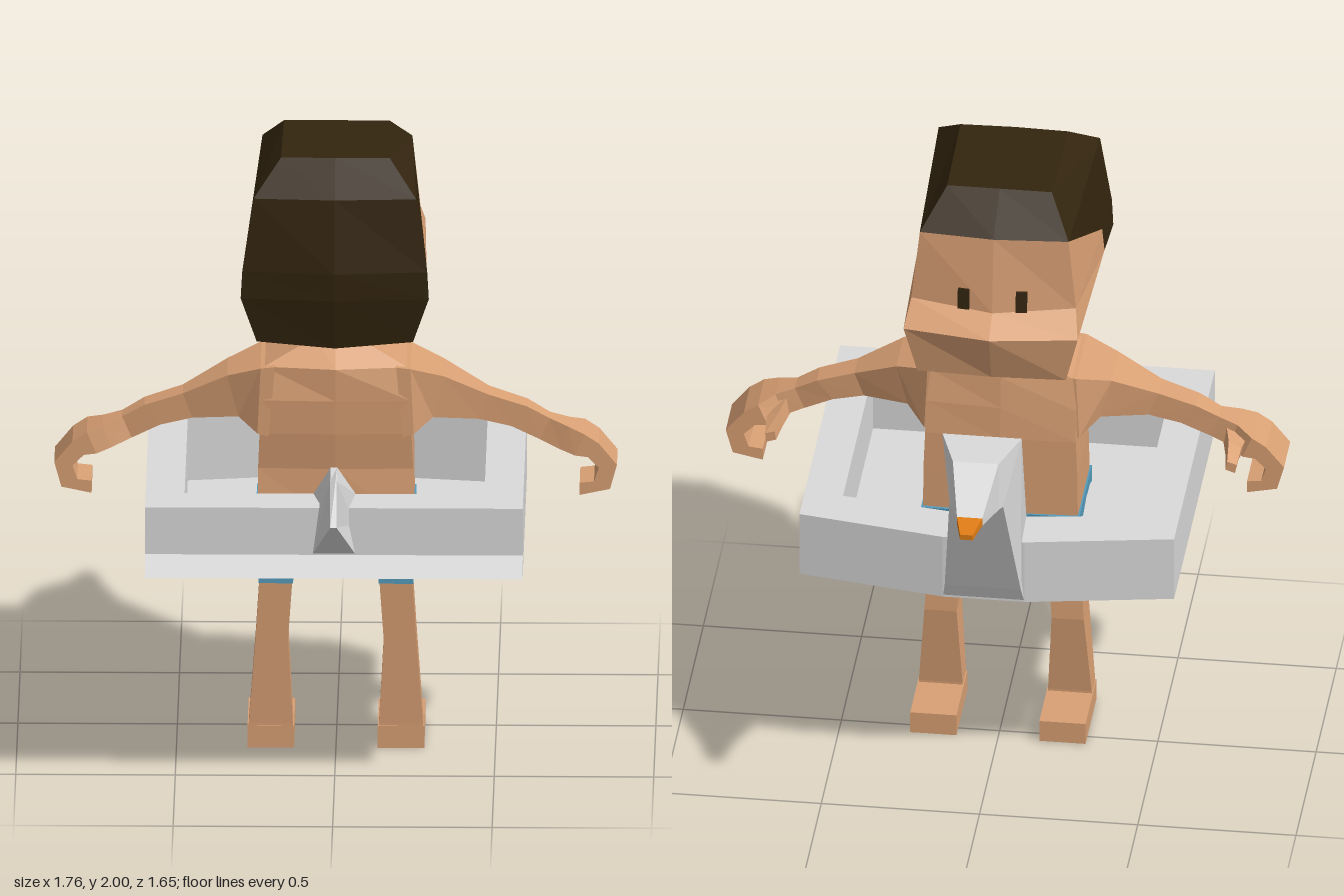
import * as THREE from 'three';

const skin = new THREE.MeshStandardMaterial({ color: 0xd9a074 });
skin.name = 'skin';
const hair = new THREE.MeshStandardMaterial({ color: 0x33250f });
hair.name = 'hair';
const shorts = new THREE.MeshStandardMaterial({ color: 0x569cbc });
shorts.name = 'shortsBlue';
const white = new THREE.MeshStandardMaterial({ color: 0xdadada });
white.name = 'floatWhite';
const orange = new THREE.MeshStandardMaterial({ color: 0xe07c14 });
orange.name = 'beakOrange';

// Faceted closed skin over equal-length loops of [x, y, z]; pick(level, segment) gives a material index
function loft(loops, pick = () => 0) {
  const tris = [];
  const n = loops[0].length;
  const cap = (loop, flip, m) => {
    for (let j = 1; j < n - 1; j++) tris.push({ m, p: flip ? [loop[0], loop[j + 1], loop[j]] : [loop[0], loop[j], loop[j + 1]] });
  };
  for (let i = 0; i < loops.length - 1; i++) {
    for (let j = 0; j < n; j++) {
      const k = (j + 1) % n, m = pick(i, j);
      const [a, b, c, d] = [loops[i][j], loops[i][k], loops[i + 1][k], loops[i + 1][j]];
      tris.push({ m, p: [a, b, c] }, { m, p: [a, c, d] });
    }
  }
  cap(loops[0], true, pick(-1, 0));
  cap(loops[loops.length - 1], false, pick(loops.length - 1, 0));

  // Turn the faces outward when the enclosed volume comes out negative
  let volume = 0;
  const v = p => new THREE.Vector3(...p);
  for (const t of tris) volume += v(t.p[0]).dot(v(t.p[1]).cross(v(t.p[2])));
  if (volume < 0) tris.forEach(t => t.p.reverse());

  tris.sort((s, t) => s.m - t.m);
  const geo = new THREE.BufferGeometry();
  geo.setAttribute('position', new THREE.Float32BufferAttribute(tris.flatMap(t => t.p.flat()), 3));
  tris.forEach((t, i) => {
    const last = geo.groups[geo.groups.length - 1];
    if (last && last.materialIndex === t.m) last.count += 3;
    else geo.addGroup(i * 3, 3, t.m);
  });
  geo.computeVertexNormals();
  return geo;
}

const rectY = (y, x0, x1, z0, z1) => [[x0, y, z0], [x1, y, z0], [x1, y, z1], [x0, y, z1]];
const mirror = (loops, s) => loops.map(l => l.map(([x, y, z]) => [x * s, y, z]));

// Loop symmetric in x: the given half runs from the front centre to the back centre
const fullLoop = half => [...half, ...half.slice(1, -1).reverse().map(([x, y, z]) => [-x, y, z])];

export function createModel() {
  const model = new THREE.Group();
  model.name = 'swimmer';
  const add = (name, geo, mat, parent = model) => {
    const mesh = new THREE.Mesh(geo, mat);
    mesh.name = name;
    parent.add(mesh);
    return mesh;
  };

  // Head: each half loop is front centre, front corner, hairline, back corner, back centre
  const headLoops = [
    [[0, 1.35, 0.05], [0.07, 1.35, 0.05], [0.07, 1.35, 0.2], [0.07, 1.35, 0.24], [0, 1.35, 0.24]],
    [[0, 1.385, -0.07], [0.15, 1.385, -0.06], [0.16, 1.38, 0.25], [0.15, 1.375, 0.32], [0, 1.37, 0.33]],
    [[0, 1.435, -0.21], [0.235, 1.435, -0.2], [0.245, 1.43, 0.48], [0.245, 1.43, 0.482], [0, 1.412, 0.495]],
    [[0, 1.6, -0.265], [0.275, 1.6, -0.225], [0.287, 1.58, 0.35], [0.295, 1.58, 0.505], [0, 1.58, 0.53]],
    [[0, 1.655, -0.187], [0.26, 1.67, -0.148], [0.282, 1.67, 0.33], [0.29, 1.67, 0.508], [0, 1.67, 0.535]],
    [[0, 1.905, -0.152], [0.235, 1.905, -0.135], [0.235, 1.905, -0.134], [0.255, 1.905, 0.49], [0, 1.905, 0.505]],
    [[0, 2, 0], [0.165, 2, 0], [0.166, 2, 0.02], [0.17, 2, 0.365], [0, 2, 0.37]],
  ].map(fullLoop);
  const isHair = (i, j) => (i >= 5 || (i >= 2 && j >= 2 && j <= 5) ? 1 : 0);
  add('head', loft(headLoops, isHair), [skin, hair]);

  for (const s of [-1, 1]) {
    const eye = add('eye', new THREE.BoxGeometry(0.036, 0.068, 0.03), hair);
    eye.position.set(s * 0.09, 1.695, -0.167);
    eye.rotation.set(0.14, -s * 0.15, 0);
  }

  // Torso, with a crease down the middle
  const torsoLoops = [
    [0.77, 0.245, 0.02, 0.315, 0.01, 0.32],
    [0.95, 0.243, 0.02, 0.3, 0.01, 0.31],
    [1.07, 0.238, 0.02, 0.315, 0.01, 0.325],
    [1.18, 0.235, 0.03, 0.32, 0.017, 0.33],
    [1.285, 0.225, 0.05, 0.3, 0.028, 0.33],
    [1.36, 0.07, 0.055, 0.235, 0.05, 0.24],
  ].map(([y, x, z0, z1, c0, c1]) => fullLoop([[0, y, c0], [x, y, z0], [x, y, z1], [0, y, c1]]));
  add('torso', loft(torsoLoops), skin);

  // Pelvis of the shorts, lofted from side to side with a raised crotch
  const pelvisLoops = [
    [-0.25, 0.61, 0.05], [-0.13, 0.61, 0], [-0.07, 0.64, 0], [0.07, 0.64, 0], [0.13, 0.61, 0], [0.25, 0.61, 0.05],
  ].map(([x, low, inset]) => {
    const xl = Math.abs(x) > 0.2 ? Math.sign(x) * 0.237 : x;
    return [
      [x, 0.8, 0.325], [x, 0.8, 0.008], [x, 0.725, 0.018], [xl, 0.655, 0.055 + inset],
      [xl, low, 0.117], [xl, low, 0.245], [xl, 0.655, 0.31 - inset], [x, 0.725, 0.33],
    ];
  });
  add('shorts', loft(pelvisLoops), shorts);

  // Arm cross-sections: top x, y, bottom x, y, front z, back z
  const armLoops = [
    [0.19, 1.29, 0.21, 1.06, 0.05, 0.32],
    [0.235, 1.285, 0.245, 1.07, 0.05, 0.32],
    [0.34, 1.25, 0.305, 1.115, 0.11, 0.285],
    [0.48, 1.18, 0.45, 1.1, 0.165, 0.255],
    [0.6, 1.14, 0.55, 1.075, 0.17, 0.25],
    [0.67, 1.1, 0.64, 1.03, 0.18, 0.245],
    [0.73, 1.08, 0.705, 1.005, 0.17, 0.27],
    [0.78, 1.06, 0.75, 0.99, 0.13, 0.285],
    [0.825, 1.03, 0.79, 0.985, 0.13, 0.285],
    [0.882, 0.96, 0.825, 0.95, 0.13, 0.285],
    [0.86, 0.88, 0.81, 0.905, 0.13, 0.285],
    [0.765, 0.86, 0.765, 0.9, 0.13, 0.285],
  ].map(([tx, ty, bx, by, z0, z1]) => [[tx, ty, z0], [tx, ty, z1], [bx, by, z1], [bx, by, z0]]);
  const thumbLoops = [
    [[0.69, 1.07, 0.2], [0.77, 1.05, 0.2], [0.76, 0.995, 0.2], [0.68, 1.01, 0.2]],
    [[0.71, 1.055, 0.11], [0.75, 1.035, 0.11], [0.74, 0.99, 0.11], [0.7, 1.0, 0.11]],
    [[0.715, 1.03, 0.03], [0.745, 1.02, 0.03], [0.74, 0.99, 0.03], [0.71, 1.0, 0.03]],
  ];

  // Leg and shorts cuff, from the ankle upward
  const legLoops = [
    rectY(0.03, 0.132, 0.277, 0.14, 0.225),
    rectY(0.08, 0.135, 0.273, 0.14, 0.225),
    rectY(0.36, 0.15, 0.252, 0.11, 0.235),
    rectY(0.55, 0.137, 0.24, 0.12, 0.243),
  ];
  const cuffLoops = [rectY(0.55, 0.134, 0.243, 0.116, 0.246), rectY(0.63, 0.13, 0.237, 0.116, 0.246)];

  for (const s of [-1, 1]) {
    const side = s > 0 ? 'left' : 'right';
    const arm = new THREE.Group();
    arm.name = side + 'Arm';
    add('armAndHand', loft(mirror(armLoops, s)), skin, arm);
    add('thumb', loft(mirror(thumbLoops, s)), skin, arm);
    const leg = new THREE.Group();
    leg.name = side + 'Leg';
    add('shin', loft(mirror(legLoops, s)), skin, leg);
    add('cuff', loft(mirror(cuffLoops, s)), shorts, leg);
    add('foot', new THREE.BoxGeometry(0.146, 0.073, 0.27), skin, leg).position.set(s * 0.204, 0.0365, 0.091);
    model.add(arm, leg);
  }

  // Float ring: outline with a hole, its lower back edge pulled out into a lip
  const float = new THREE.Group();
  float.name = 'swanFloat';
  model.add(float);
  const outline = pts => pts.map(([x, z]) => new THREE.Vector2(x, -z));
  const ringShape = new THREE.Shape(outline([[-0.592, 0.69], [0.592, 0.69], [0.592, -0.32], [0.13, -0.398], [-0.13, -0.398], [-0.592, -0.32]]));
  const hole = outline([[-0.47, 0.55], [0.47, 0.55], [0.47, -0.195], [0.12, -0.245], [-0.12, -0.245], [-0.47, -0.195]]);
  ringShape.holes.push(new THREE.Path(hole));
  const ring = new THREE.ExtrudeGeometry(ringShape, { depth: 0.22, steps: 2, bevelEnabled: false });
  ring.rotateX(-Math.PI / 2);
  const pos = ring.attributes.position;
  for (let i = 0; i < pos.count; i++) {
    const y = pos.getY(i);
    if (y < 0.01 && pos.getZ(i) > 0.68) pos.setZ(i, 0.73);
    pos.setY(i, 0.73 + (Math.abs(y - 0.11) < 0.01 ? 0.065 : y));
  }
  ring.computeVertexNormals();
  add('ring', ring, white, float);

  const floor = new THREE.ExtrudeGeometry(new THREE.Shape(hole), { depth: 0.01, bevelEnabled: false });
  floor.rotateX(-Math.PI / 2).translate(0, 0.73, 0);
  add('floor', floor, white, float);

  // Swan neck, head and beak: back/top half width, y, z, then front/bottom half width, y, z
  const section = ([w0, y0, z0, w1, y1, z1]) => [[-w0, y0, z0], [w0, y0, z0], [w1, y1, z1], [-w1, y1, z1]];
  const neckLoops = [
    [0.115, 0.9, -0.22, 0.128, 0.735, -0.397],
    [0.115, 0.95, -0.24, 0.12, 0.79, -0.42],
    [0.125, 1.355, -0.435, 0.085, 1.19, -0.58],
    [0.072, 1.355, -0.595, 0.075, 1.192, -0.6],
    [0.04, 1.245, -0.745, 0.04, 1.218, -0.745],
  ].map(section);
  add('swanNeckAndHead', loft(neckLoops), white, float);
  const beakLoops = [[0.04, 1.245, -0.745, 0.04, 1.218, -0.745], [0.02, 1.23, -0.825, 0.02, 1.212, -0.825]].map(section);
  add('beak', loft(beakLoops), orange, float);

  // Tail, tapering to a thin upright blade
  const tailLoop = (w, pts) => [...pts.map(([y, z]) => [w, y, z]), ...pts.slice().reverse().map(([y, z]) => [-w, y, z])];
  add('tail', loft([
    tailLoop(0.066, [[0.95, 0.55], [0.875, 0.62], [0.8, 0.69]]),
    tailLoop(0.01, [[1.085, 0.69], [1.085, 0.825], [0.93, 0.825]]),
  ]), white, float);

  return model;
}
